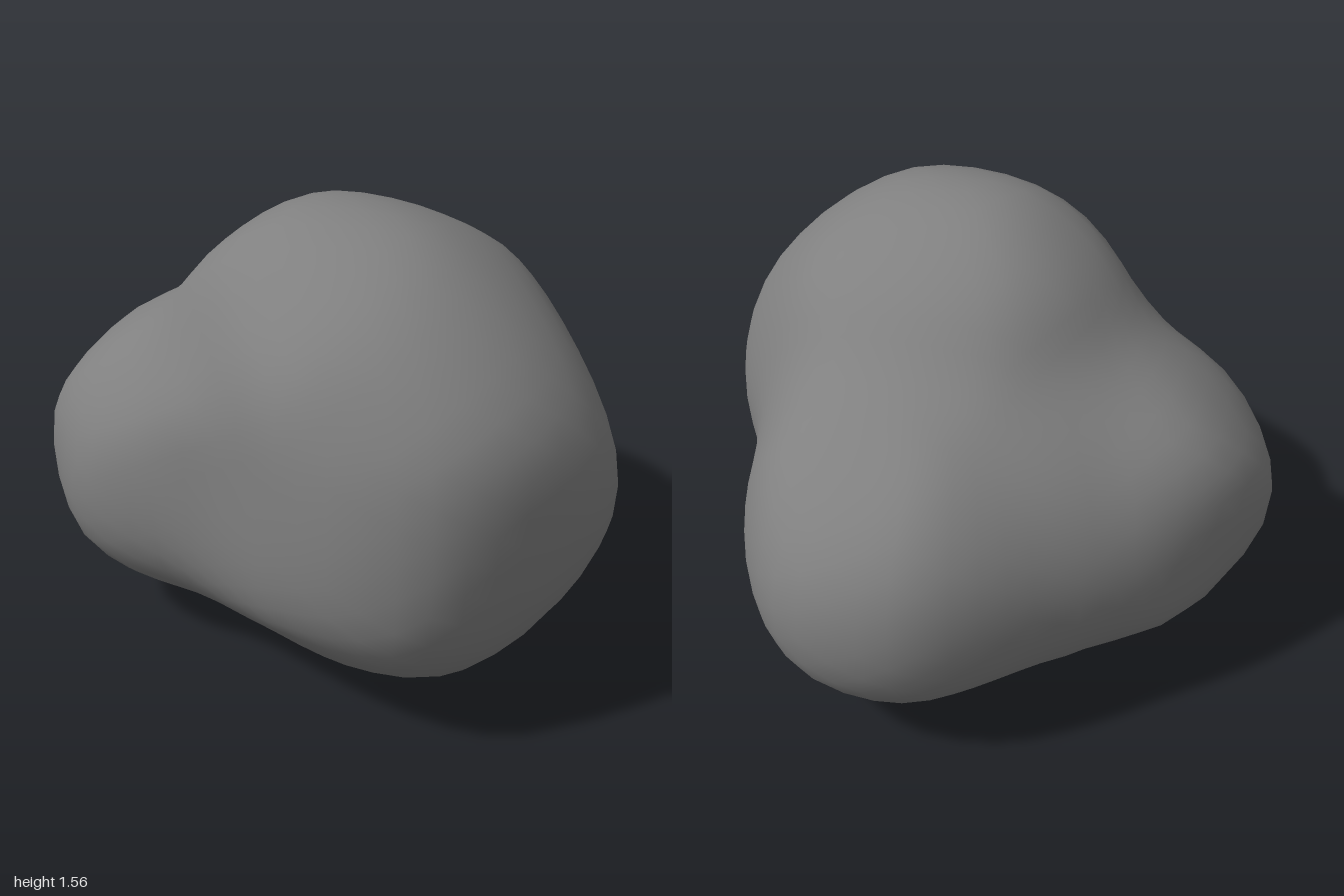
import * as THREE from 'three';
import { mergeVertices } from 'three/addons/utils/BufferGeometryUtils.js';

// Overlapping round lobes of the boulder
const lobe = (x, y, z, radius) => ({ centre: new THREE.Vector3(x, y, z), radius });
const LOBES = [
  lobe(0.13, 0.95, 0.24, 0.65),   // peak
  lobe(0.4, 0.73, 0.4, 0.58),     // front corner
  lobe(-0.5, 0.62, 0.1, 0.51),    // side lobe
  lobe(0.17, 0.64, -0.42, 0.53),  // back lobe
  lobe(-0.17, 0.62, -0.17, 0.47), // saddle between them
  lobe(0.1, 0.61, 0.12, 0.61),    // core and underside
];

// A worn contour: a closed curve on a plane turned by an azimuth and tilted by an elevation
const MID_HEIGHT = 0.8;
function contour(azimuth, tilt, points) {
  const a = THREE.MathUtils.degToRad(azimuth), e = THREE.MathUtils.degToRad(tilt);
  const curve = new THREE.CatmullRomCurve3(points.map(([u, v]) => new THREE.Vector3(u, v, 0)), true);
  return {
    outline: curve.getPoints(40).slice(0, -1),
    right: new THREE.Vector3(Math.cos(a), 0, -Math.sin(a)),
    up: new THREE.Vector3(-Math.sin(a) * Math.sin(e), Math.cos(e), -Math.cos(a) * Math.sin(e)),
  };
}
const CONTOURS = [
  // across, lengthwise and in plan
  contour(0, 0, [[0.06, 0.805], [0.63, 0.64], [1, 0.03], [0.57, -0.62], [0.1, -0.8], [-0.49, -0.71],
    [-0.92, -0.43], [-0.98, -0.06], [-0.53, 0.42], [-0.27, 0.72]]),
  contour(90, 0, [[-0.25, 0.805], [0.05, 0.75], [0.35, 0.45], [0.76, 0.23], [0.95, -0.22], [0.75, -0.6],
    [-0.14, -0.8], [-0.91, -0.49], [-0.75, 0.57]]),
  contour(0, 90, [[0.14, 0.955], [0.53, 0.79], [0.75, 0.2], [1, -0.4], [0.35, -0.96], [-0.24, -0.68],
    [-0.78, -0.51], [-1, -0.12], [-0.84, 0.24], [-0.2, 0.82]]),
  // on the slant
  contour(35, 25, [[-0.95, -0.04], [-0.83, 0.24], [-0.02, 0.7], [0.43, 0.47], [0.78, 0.24], [0.88, -0.11],
    [0.67, -0.52], [-0.07, -0.94], [-0.39, -0.71], [-0.87, -0.37]]),
  contour(215, 25, [[-0.01, 0.92], [0.42, 0.7], [0.59, 0.4], [0.92, -0.06], [0.88, -0.51], [0.15, -0.77],
    [-0.56, -0.77], [-0.88, -0.37], [-0.68, 0.3], [-0.48, 0.7]]),
  contour(145, -25, [[-1.05, 0.19], [-0.68, 0.62], [-0.14, 0.69], [0.4, 0.51], [0.68, 0.17], [0.79, -0.25],
    [0.66, -0.7], [0.13, -0.86], [-0.77, -0.71]]),
];

function smoothMin(a, b, k) {
  const h = Math.max(k - Math.abs(a - b), 0) / k;
  return Math.min(a, b) - h * h * k / 4;
}
const smoothMax = (a, b, k) => -smoothMin(-a, -b, k);

// Signed distance from a point to a closed outline, negative inside
function outlineDistance(outline, x, y) {
  let best = Infinity, inside = false;
  outline.forEach((a, i) => {
    const b = outline[(i + 1) % outline.length];
    const dx = b.x - a.x, dy = b.y - a.y;
    const t = THREE.MathUtils.clamp(((x - a.x) * dx + (y - a.y) * dy) / (dx * dx + dy * dy), 0, 1);
    best = Math.min(best, Math.hypot(x - a.x - t * dx, y - a.y - t * dy));
    if ((a.y > y) !== (b.y > y) && x < a.x + dx * (y - a.y) / dy) inside = !inside;
  });
  return inside ? -best : best;
}

// Blended lobes, softly worn down to the contours
const local = new THREE.Vector3();
function field(p) {
  let d = 10;
  for (const { centre, radius } of LOBES) d = smoothMin(d, p.distanceTo(centre) - radius, 0.22);
  local.copy(p);
  local.y -= MID_HEIGHT;
  for (const { outline, right, up } of CONTOURS) {
    d = smoothMax(d, outlineDistance(outline, local.dot(right), local.dot(up)) - 0.012, 0.07);
  }
  return d;
}

export function createModel() {
  const stone = new THREE.MeshStandardMaterial({ name: 'stone grey', color: 0x808080 });

  // Push each vertex of a sphere out to the blended surface
  let geo = new THREE.IcosahedronGeometry(1, 10);
  geo.deleteAttribute('uv');
  geo.deleteAttribute('normal');
  geo = mergeVertices(geo, 1e-4);
  const pos = geo.attributes.position;
  const core = new THREE.Vector3(0.04, 0.72, 0.04);
  const dir = new THREE.Vector3(), p = new THREE.Vector3();
  for (let i = 0; i < pos.count; i++) {
    dir.fromBufferAttribute(pos, i).normalize();
    let lo = 0, hi = 1.6;
    for (let n = 0; n < 20; n++) {
      const mid = (lo + hi) / 2;
      p.copy(core).addScaledVector(dir, mid);
      if (field(p) < 0) lo = mid; else hi = mid;
    }
    pos.setXYZ(i, p.x, p.y, p.z);
  }

  // Stand it on the ground
  geo.computeBoundingBox();
  geo.translate(0, -geo.boundingBox.min.y, 0);
  geo.computeVertexNormals();

  const boulder = new THREE.Mesh(geo, stone);
  boulder.name = 'boulder';
  const group = new THREE.Group();
  group.name = 'rock';
  group.add(boulder);
  return group;
}
